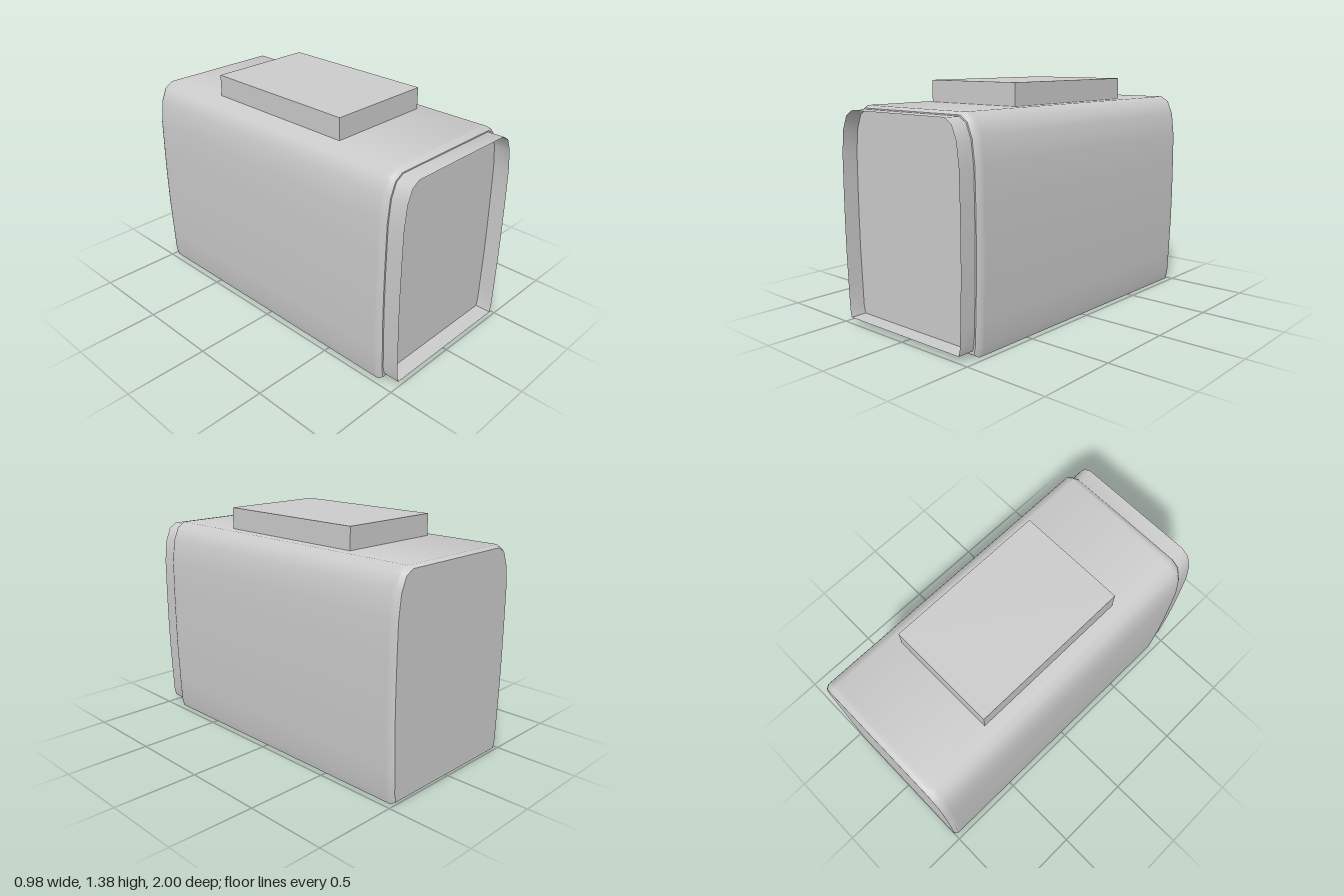
import * as THREE from 'three';
import { toCreasedNormals } from 'three/addons/utils/BufferGeometryUtils.js';

// Right half of the body cross-section, bottom to top
const HALF = [
  [0.463, 0], [0.474, 0.05], [0.48, 0.2], [0.488, 0.42], [0.49, 0.6], [0.489, 0.8],
  [0.486, 1.0], [0.469, 1.14], [0.435, 1.222], [0.384, 1.253],
];
const MID_Y = 0.6265;

// Full closed outline, counterclockwise, scaled about its middle
function outline(sx, sy, midY = MID_Y) {
  const right = HALF.map(([x, y]) => [x * sx, midY + (y - MID_Y) * sy]);
  const left = right.map(([x, y]) => [-x, y]).reverse();
  return [...right, ...left];
}

// Joins outlines placed along z (front to back), optionally closing both ends
function loft(sections, capped) {
  const pos = [], idx = [], n = sections[0].ring.length;
  for (const { ring, z } of sections) for (const [x, y] of ring) pos.push(x, y, z);
  for (let s = 0; s < sections.length - 1; s++) {
    for (let i = 0; i < n; i++) {
      const j = (i + 1) % n;
      const a = s * n + i, b = s * n + j, c = a + n, d = b + n;
      idx.push(a, c, d, a, d, b);
    }
  }
  if (capped) {
    const last = (sections.length - 1) * n;
    for (let i = 1; i < n - 1; i++) {
      idx.push(0, i, i + 1);
      idx.push(last, last + i + 1, last + i);
    }
  }
  const geo = new THREE.BufferGeometry();
  geo.setAttribute('position', new THREE.Float32BufferAttribute(pos, 3));
  geo.setIndex(idx);
  return toCreasedNormals(geo, 0.75);
}

export function createModel() {
  const group = new THREE.Group();
  const grey = new THREE.MeshStandardMaterial({ color: 0xcccccc, side: THREE.DoubleSide });
  grey.name = 'light grey';

  const add = (name, geo) => {
    const mesh = new THREE.Mesh(geo, grey);
    mesh.name = name;
    group.add(mesh);
    return mesh;
  };

  // Long housing with small bevels at both ends
  const full = outline(1, 1), inset = outline(0.97, 0.976);
  add('body', loft([
    { ring: inset, z: 0.9 }, { ring: full, z: 0.875 }, { ring: full, z: 0.85 },
    { ring: full, z: -0.95 }, { ring: full, z: -0.975 }, { ring: inset, z: -1 },
  ], true));

  // Thin open rim around the recessed front
  const rim = outline(0.952, 0.953, 0.634);
  add('frontRim', loft([{ ring: rim, z: 1 }, { ring: rim, z: 0.9 }], false));

  // Recessed front panel
  const shape = new THREE.Shape(rim.map(([x, y]) => new THREE.Vector2(x, y)));
  add('frontPanel', new THREE.ShapeGeometry(shape)).position.z = 0.902;

  // Flat block on the roof
  add('topBlock', new THREE.BoxGeometry(0.654, 0.14, 0.98)).position.set(-0.002, 1.312, -0.05);

  return group;
}
